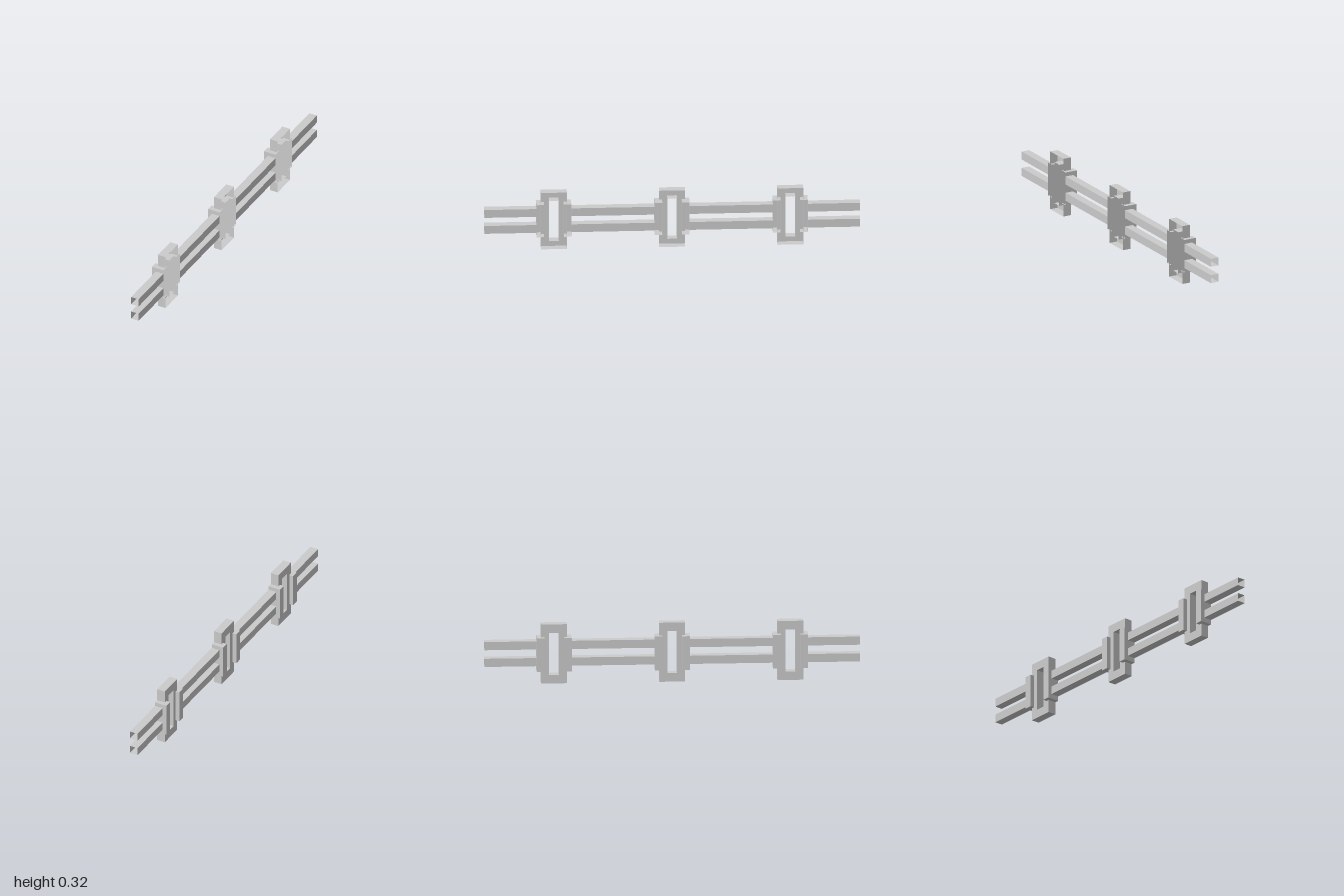
import * as THREE from 'three';

const material = new THREE.MeshStandardMaterial({ color: 0xcccccc, flatShading: true, side: THREE.DoubleSide });

const BACK = 0.034;       // open plane shared by frames and clamps
const FACE = -0.012;      // face of rails and frames
const CLAMP_FACE = -0.035;
const CLAMP_OUT = 0.093, CLAMP_IN = 0.052;
const STATIONS = [-0.629, 0, 0.629];

// Keep only triangles whose face normal passes the test, leaving an open shell
function openShell(geometry, keep) {
  const src = geometry.index ? geometry.toNonIndexed() : geometry;
  const pos = src.attributes.position;
  const tri = new THREE.Triangle(), n = new THREE.Vector3(), out = [];
  for (let i = 0; i < pos.count; i += 3) {
    tri.setFromAttributeAndIndices(pos, i, i + 1, i + 2);
    tri.getNormal(n);
    if (keep(n)) out.push(...tri.a.toArray(), ...tri.b.toArray(), ...tri.c.toArray());
  }
  const shell = new THREE.BufferGeometry();
  shell.setAttribute('position', new THREE.Float32BufferAttribute(out, 3));
  shell.computeVertexNormals();
  return shell;
}

// Box given by its limits on each axis
function boxBetween(x0, x1, y0, y1, z0, z1) {
  return new THREE.BoxGeometry(x1 - x0, y1 - y0, z1 - z0)
    .translate((x0 + x1) / 2, (y0 + y1) / 2, (z0 + z1) / 2);
}

function add(parent, name, geometry) {
  const mesh = new THREE.Mesh(geometry, material);
  mesh.name = name;
  parent.add(mesh);
}

function rectangle(PathType, halfWidth, y0, y1) {
  return new PathType([
    new THREE.Vector2(-halfWidth, y0), new THREE.Vector2(halfWidth, y0),
    new THREE.Vector2(halfWidth, y1), new THREE.Vector2(-halfWidth, y1),
  ]);
}

// Upright slotted frame, hollow behind its face
function frameGeometry() {
  const shape = rectangle(THREE.Shape, 0.069, 0, 0.325);
  shape.holes.push(rectangle(THREE.Path, 0.026, 0.047, 0.278));
  const ring = new THREE.ExtrudeGeometry(shape, { depth: BACK - FACE, bevelEnabled: false });
  ring.rotateY(Math.PI / 2).translate(FACE, 0, 0);
  return openShell(ring, (n) => n.x < 0.5);
}

export function createModel() {
  const model = new THREE.Group();
  model.name = 'railFence';

  // Posts: a slotted frame with a clamp on either side
  const frame = frameGeometry();
  for (const z of STATIONS) {
    const post = new THREE.Group();
    post.name = 'post';
    post.position.z = z;
    add(post, 'slottedFrame', frame);
    for (const [z0, z1] of [[CLAMP_IN, CLAMP_OUT], [-CLAMP_OUT, -CLAMP_IN]]) {
      const clamp = boxBetween(CLAMP_FACE, BACK, 0.07, 0.255, z0, z1);
      add(post, 'sideClamp', openShell(clamp, (n) => n.x < 0.5));
    }
    model.add(post);
  }

  // Two open-ended square rails between neighbouring posts and out to the ends
  const stops = [-1, ...STATIONS.flatMap((z) => [z - CLAMP_OUT, z + CLAMP_OUT]), 1];
  for (let i = 0; i < stops.length; i += 2) {
    for (const [name, y0, y1] of [['lowerRail', 0.096, 0.141], ['upperRail', 0.188, 0.233]]) {
      const rail = boxBetween(FACE, BACK, y0, y1, stops[i], stops[i + 1]);
      add(model, name, openShell(rail, (n) => Math.abs(n.z) < 0.5));
    }
  }
  return model;
}
